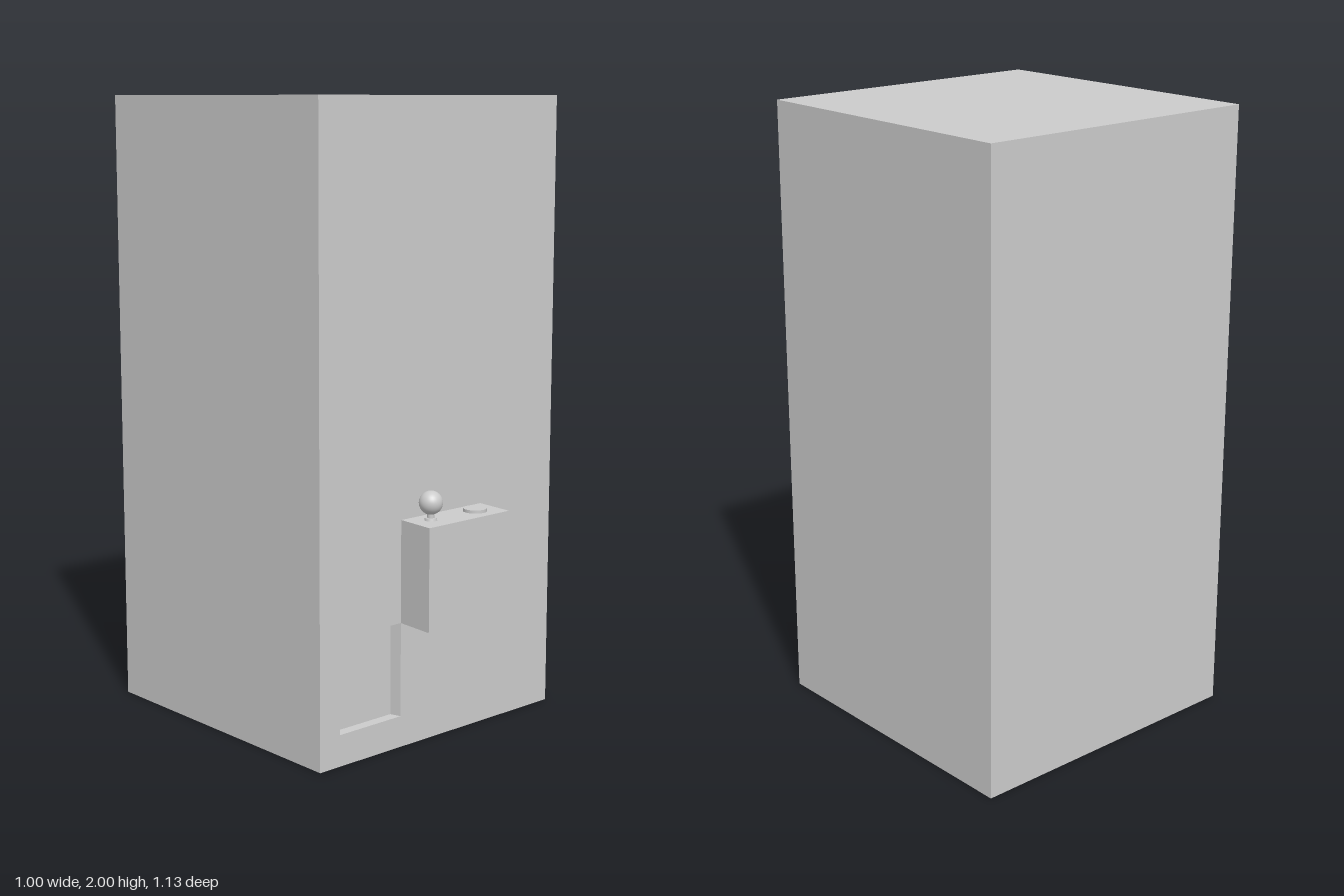
import * as THREE from 'three';

const FRONT = 0.432, BACK = -0.565, RECESS = 0.035;

export function createModel() {
  const model = new THREE.Group();
  const material = new THREE.MeshStandardMaterial({ color: 0xcccccc });

  const add = (name, geometry, x = 0, y = 0, z = 0, parent = model) => {
    const mesh = new THREE.Mesh(geometry, material);
    mesh.name = name;
    mesh.position.set(x, y, z);
    parent.add(mesh);
    return mesh;
  };

  // Main cabinet block, up to the floor of the recess
  const depth = FRONT - RECESS - BACK;
  add('cabinetBody', new THREE.BoxGeometry(1, 2, depth), 0, 1, BACK + depth / 2);

  // Front panel with the rectangular recess cut through it
  const panel = new THREE.Shape([[-0.5, 0], [0.5, 0], [0.5, 2], [-0.5, 2]].map(p => new THREE.Vector2(...p)));
  panel.holes.push(new THREE.Path([[-0.42, 0.1], [-0.42, 0.4], [-0.17, 0.4], [-0.17, 0.1]].map(p => new THREE.Vector2(...p))));
  const panelGeometry = new THREE.ExtrudeGeometry(panel, { depth: RECESS, bevelEnabled: false });
  // The recess narrows slightly towards its floor on one side
  const pp = panelGeometry.attributes.position;
  for (let i = 0; i < pp.count; i++) {
    if (Math.abs(pp.getX(i) + 0.17) < 0.001 && pp.getZ(i) < 0.001) pp.setX(i, -0.18);
  }
  panelGeometry.computeVertexNormals();
  add('frontPanel', panelGeometry, 0, 0, FRONT - RECESS);

  // Control box, sheared sideways towards the front
  const controls = new THREE.Group();
  controls.name = 'controls';
  model.add(controls);
  const boxGeometry = new THREE.BoxGeometry(0.345, 0.325, 0.133);
  const bp = boxGeometry.attributes.position;
  for (let i = 0; i < bp.count; i++) bp.setX(i, bp.getX(i) - bp.getZ(i) * 0.075);
  boxGeometry.computeVertexNormals();
  add('controlBox', boxGeometry, -0.003, 0.5625, FRONT + 0.0665, controls);

  // Joystick: collar, stem and ball
  const stick = new THREE.Group();
  stick.name = 'joystick';
  stick.position.set(-0.105, 0.725, 0.493);
  controls.add(stick);
  add('stickCollar', new THREE.CylinderGeometry(0.018, 0.02, 0.008, 24), 0, 0.004, 0, stick);
  add('stickStem', new THREE.CylinderGeometry(0.011, 0.011, 0.04, 16), 0, 0.02, 0, stick);
  add('stickBall', new THREE.SphereGeometry(0.037, 32, 20), 0, 0.055, 0, stick);

  // Push button
  add('pushButton', new THREE.CylinderGeometry(0.037, 0.037, 0.01, 32), 0.083, 0.73, 0.497, controls);

  return model;
}
